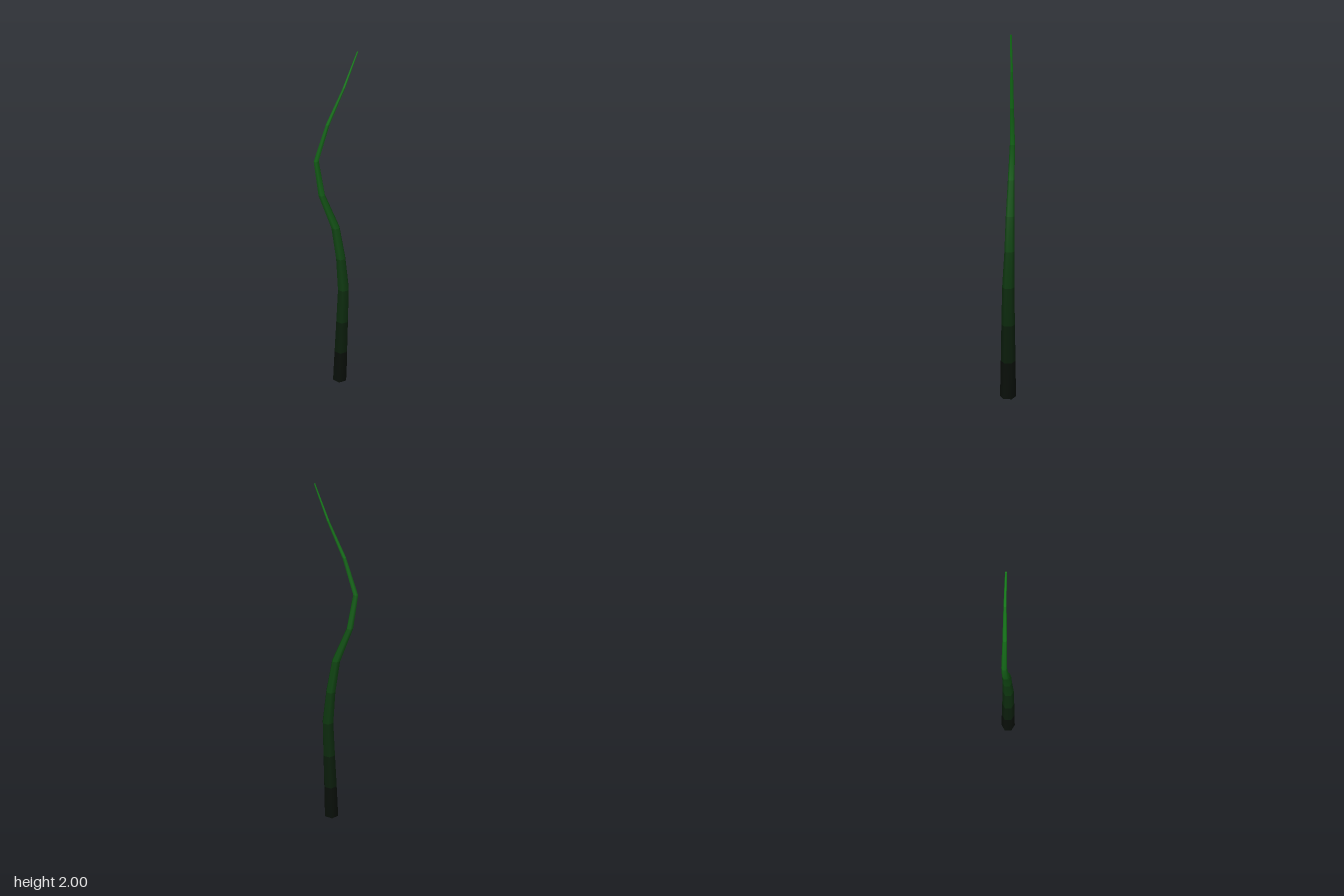
import * as THREE from 'three';

// Centre line and radius of the stem, from the ground up: [x, y, z, radius]
const RINGS = [
  [0.035, 0, -0.011, 0.046], [0.038, 0.22, -0.016, 0.042], [0.042, 0.44, -0.021, 0.038],
  [0.045, 0.66, -0.026, 0.034], [0.029, 0.86, -0.018, 0.028], [0.007, 1.05, 0.002, 0.024],
  [-0.046, 1.24, 0.054, 0.0185], [-0.069, 1.43, 0.07, 0.0145], [-0.027, 1.63, 0.026, 0.011],
  [0.027, 1.82, -0.034, 0.007], [0.072, 2, -0.08, 0.004],
];
const SIDES = 6;
const TURN = THREE.MathUtils.degToRad(43);

// Dark at the root, green at the tip
function stemColor(t) {
  return new THREE.Color().setRGB(0.03 + 0.06 * t, 0.03 + 0.49 * t, 0.03 + 0.08 * t, THREE.SRGBColorSpace);
}

function ringPoints([x, y, z, r]) {
  return Array.from({ length: SIDES }, (_, i) => {
    const a = TURN + (i / SIDES) * Math.PI * 2;
    return [x + r * Math.cos(a), y, z + r * Math.sin(a)];
  });
}

// Six-sided skin with shared, smooth normals; one colour group per segment
function stemGeometry() {
  const positions = RINGS.flatMap(ringPoints).flat();
  const indices = [];
  const geometry = new THREE.BufferGeometry();
  for (let s = 0; s < RINGS.length - 1; s++) {
    geometry.addGroup(indices.length, SIDES * 6, s);
    for (let i = 0; i < SIDES; i++) {
      const a = s * SIDES + i;
      const b = s * SIDES + (i + 1) % SIDES;
      indices.push(a, a + SIDES, b, b, a + SIDES, b + SIDES);
    }
  }
  geometry.setAttribute('position', new THREE.Float32BufferAttribute(positions, 3));
  geometry.setIndex(indices);
  geometry.computeVertexNormals();
  return geometry;
}

// Flat end cap matching a ring, facing up or down
function endCap(name, [x, y, z, r], facing, material) {
  const geometry = new THREE.CircleGeometry(r, SIDES, facing > 0 ? -TURN : TURN);
  geometry.rotateX(-facing * Math.PI / 2);
  const cap = new THREE.Mesh(geometry, material);
  cap.position.set(x, y, z);
  cap.name = name;
  return cap;
}

export function createModel() {
  const group = new THREE.Group();
  group.name = 'grassStem';

  const materials = RINGS.slice(1).map((ring, s) =>
    new THREE.MeshStandardMaterial({ color: stemColor((ring[1] + RINGS[s][1]) / 4) }));

  const stem = new THREE.Mesh(stemGeometry(), materials);
  stem.name = 'stem';
  group.add(stem);

  group.add(endCap('rootCap', RINGS[0], -1, materials[0]));
  group.add(endCap('tipCap', RINGS.at(-1), 1, materials.at(-1)));
  return group;
}
